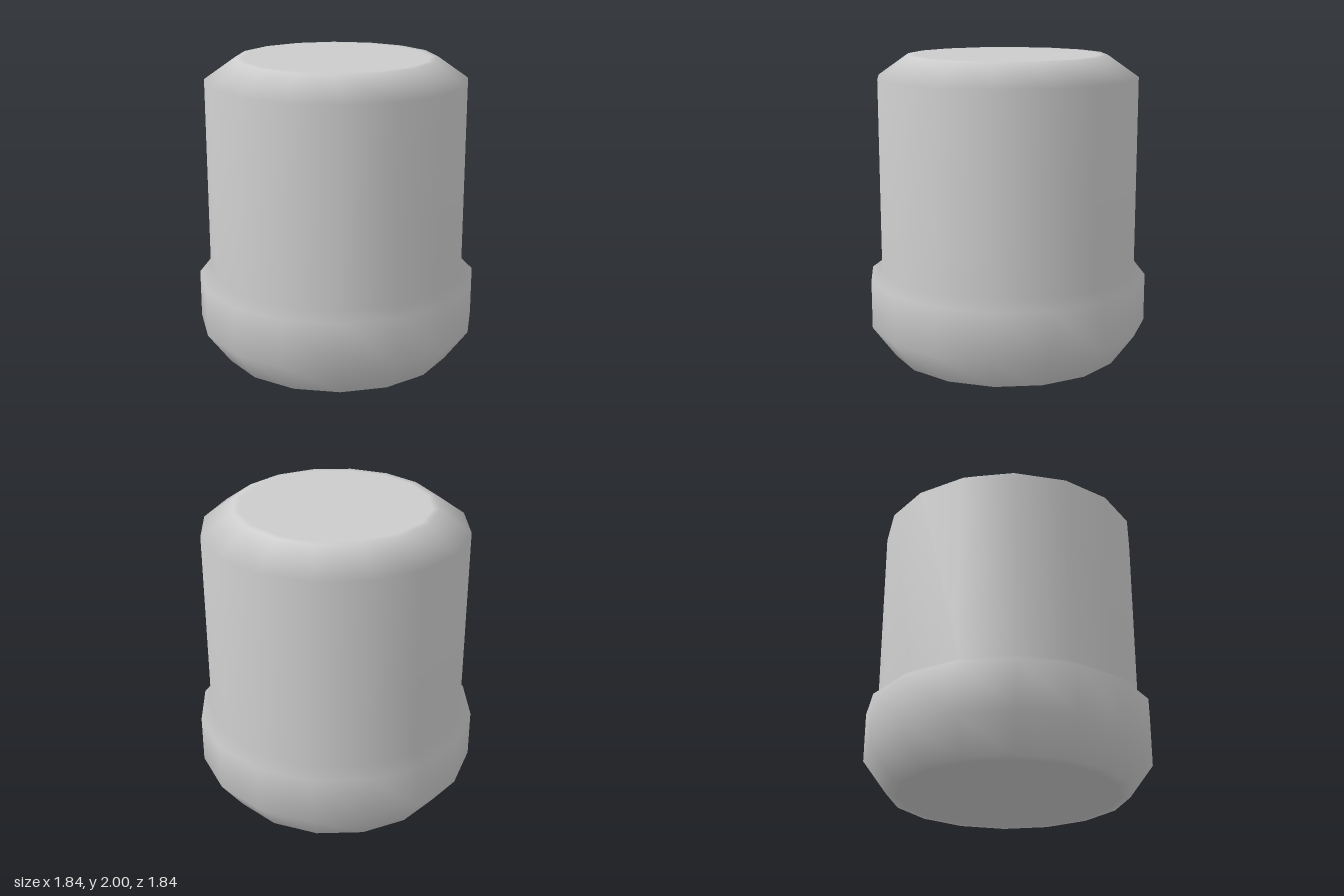
import * as THREE from 'three';
import { mergeVertices } from 'three/addons/utils/BufferGeometryUtils.js';

export function createModel() {
  const group = new THREE.Group();
  group.name = 'cappedCylinder';

  // Half profile, bottom centre to top centre: [radius, height]
  const profile = [
    [0, 0], [0.7, 0.022], [0.765, 0.03],  // shallow domed underside
    [0.918, 0.24], [0.918, 0.555],        // wide collar
    [0.845, 0.61], [0.845, 1.86],         // straight body
    [0.645, 2], [0.6, 2], [0, 2],         // bevelled flat top
  ].map(([r, y]) => new THREE.Vector2(r, y));

  // 16 sides, welded so the normals run smoothly over seam and bevels
  let geometry = new THREE.LatheGeometry(profile, 16);
  geometry.deleteAttribute('uv');
  geometry.deleteAttribute('normal');
  geometry = mergeVertices(geometry, 1e-4);
  geometry.computeVertexNormals();

  const body = new THREE.Mesh(geometry, new THREE.MeshStandardMaterial({ color: 0xcccccc }));
  body.name = 'body';
  group.add(body);
  return group;
}
